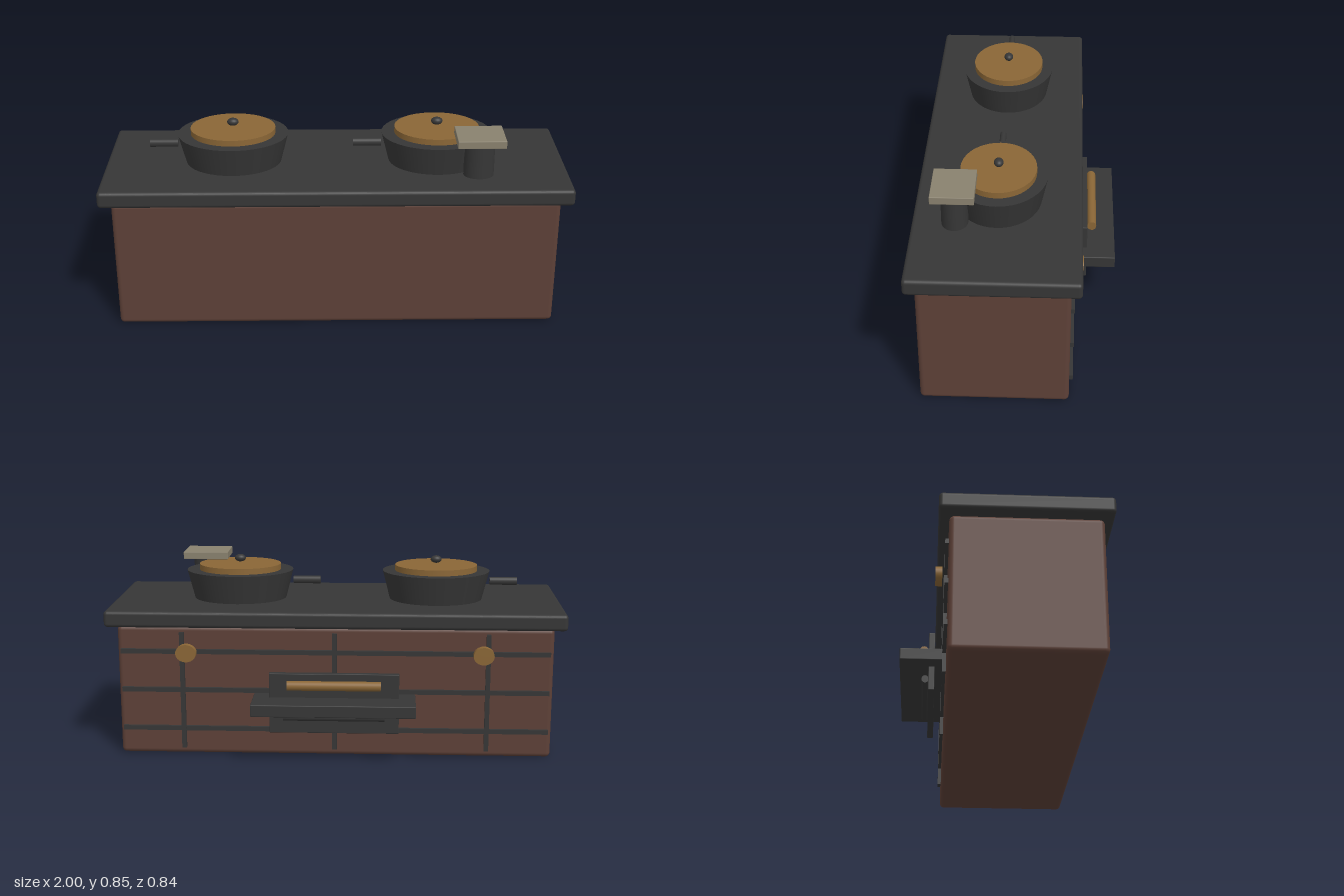
import * as THREE from 'three';
import { RoundedBoxGeometry } from 'three/addons/geometries/RoundedBoxGeometry.js';

const material = (name, color) => {
  const m = new THREE.MeshStandardMaterial({ color });
  m.name = name;
  return m;
};

export function createModel() {
  const brick = material('brown brick', 0x5d4037);
  const iron = material('dark iron', 0x363636);
  const brass = material('brass', 0x8a6636);
  const stone = material('grey stone', 0x89816e);

  const model = new THREE.Group();
  model.name = 'stove';

  const add = (parent, name, geometry, mat, x, y, z) => {
    const mesh = new THREE.Mesh(geometry, mat);
    mesh.name = name;
    mesh.position.set(x, y, z);
    parent.add(mesh);
    return mesh;
  };
  // Box given by its limits on each axis, optionally with rounded edges
  const box = (name, mat, [x0, x1], [y0, y1], [z0, z1], r = 0) => {
    const s = [x1 - x0, y1 - y0, z1 - z0];
    const g = r ? new RoundedBoxGeometry(...s, 4, r) : new THREE.BoxGeometry(...s);
    return add(model, name, g, mat, (x0 + x1) / 2, (y0 + y1) / 2, (z0 + z1) / 2);
  };
  // Rod lying along x, with an oval cross-section
  const rod = (parent, name, mat, length, ry, rz, x, y, z) => {
    const g = new THREE.CylinderGeometry(1, 1, length, 24).rotateZ(Math.PI / 2).scale(1, ry, rz);
    return add(parent, name, g, mat, x, y, z);
  };

  // Body and worktop
  box('body', brick, [-0.95, 0.95], [0, 0.58], [-0.23, 0.38], 0.02);
  box('worktop', iron, [-1, 1], [0.58, 0.652], [-0.272, 0.42], 0.016);

  // Oval pots with lid, knob and side handle
  for (const x of [-0.445, 0.44]) {
    const pot = new THREE.Group();
    pot.name = 'pot';
    pot.position.set(x, 0, 0.075);
    model.add(pot);
    const round = (top, bottom, h) =>
      new THREE.CylinderGeometry(top, bottom, h, 40).scale(1, 1, 0.853);
    add(pot, 'potBowl', round(0.24, 0.207, 0.13), iron, 0, 0.715, 0);
    add(pot, 'potLid', round(0.184, 0.184, 0.027), brass, 0, 0.7925, 0);
    add(pot, 'lidKnob', new THREE.SphereGeometry(1, 20, 14).scale(0.025, 0.017, 0.02), iron, 0, 0.83, 0);
    rod(pot, 'potHandle', iron, 0.122, 0.0175, 0.014, -0.303, 0.732, 0);
  }

  // Chimney with a floating cap
  add(model, 'chimney', new THREE.CylinderGeometry(0.065, 0.065, 0.15, 32).scale(1, 1, 0.845),
    iron, 0.61, 0.727, 0.245);
  box('chimneyCap', stone, [0.508, 0.712], [0.806, 0.84], [0.158, 0.334], 0.003);

  // Grid of iron strips on the back
  for (const y of [0.12, 0.296, 0.469])
    box('horizontalStrip', iron, [-0.935, 0.935], [y - 0.01, y + 0.01], [-0.244, -0.229]);
  for (const x of [-0.667, 0, 0.667])
    box('verticalStrip', iron, [x - 0.01, x + 0.01], [0.03, 0.555], [-0.245, -0.229]);

  // Brass dials
  for (const x of [-0.645, 0.645])
    add(model, 'dial', new THREE.CylinderGeometry(0.045, 0.045, 0.028, 28).rotateX(Math.PI / 2).scale(1, 0.86, 1),
      brass, x, 0.469, -0.265);

  // Oven door, shelf and handles
  box('shelf', iron, [-0.353, 0.353], [0.23, 0.283], [-0.422, -0.229], 0.004);
  box('ovenDoor', iron, [-0.282, 0.282], [0.123, 0.39], [-0.3, -0.273], 0.003);
  rod(model, 'doorHandle', brass, 0.405, 0.021, 0.02, 0, 0.342, -0.32);
  rod(model, 'lowerHandle', iron, 0.44, 0.017, 0.016, 0, 0.2, -0.313);

  return model;
}
